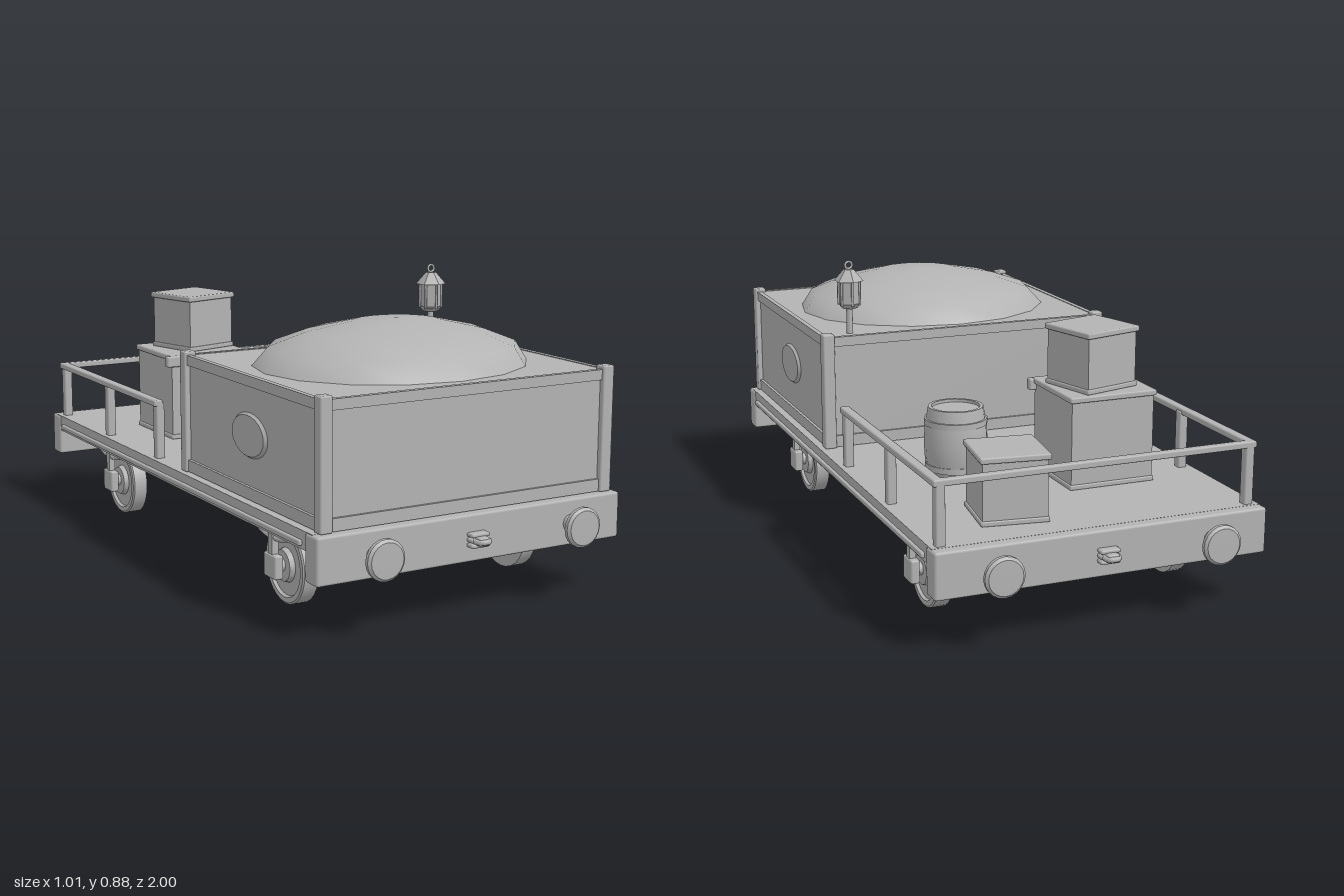
import * as THREE from 'three';
import { RoundedBoxGeometry } from 'three/addons/geometries/RoundedBoxGeometry.js';
import { toCreasedNormals } from 'three/addons/utils/BufferGeometryUtils.js';

const grey = new THREE.MeshStandardMaterial({ color: 0xb3b3b3 });
grey.name = 'plain grey';

function add(parent, name, geometry, x = 0, y = 0, z = 0) {
  const mesh = new THREE.Mesh(geometry, grey);
  mesh.name = name;
  mesh.position.set(x, y, z);
  parent.add(mesh);
  return mesh;
}
const box = (w, h, d) => new THREE.BoxGeometry(w, h, d);
const soft = (w, h, d, r = 0.006) => new RoundedBoxGeometry(w, h, d, 1, r);
const cyl = (rTop, rBottom, h, n = 20) => new THREE.CylinderGeometry(rTop, rBottom, h, n);
const lathe = (pts, n, crease = 0.6) => toCreasedNormals(
  new THREE.LatheGeometry(pts.map(([r, y]) => new THREE.Vector2(r, y)), n), crease);

function group(parent, name, x = 0, y = 0, z = 0) {
  const g = new THREE.Group();
  g.name = name;
  g.position.set(x, y, z);
  parent.add(g);
  return g;
}

// Crate with thin bands around the foot and a lid
function crate(parent, name, size, h, x, y, z, turn) {
  const g = group(parent, name, x, y, z);
  g.rotation.y = turn;
  add(g, 'crateBody', box(size, h - 0.015, size), 0, (h - 0.015) / 2, 0);
  add(g, 'crateFoot', soft(size + 0.01, 0.015, size + 0.01, 0.004), 0, 0.0075, 0);
  add(g, 'crateLid', soft(size + 0.016, 0.018, size + 0.016, 0.005), 0, h - 0.009, 0);
  return g;
}

// Beam, buffers and coupling at one end of the wagon
function wagonEnd(parent) {
  const g = group(parent, 'wagonEnd');
  add(g, 'bufferBeam', soft(1, 0.135, 0.066, 0.008), 0, 0.224, 0.9);
  for (const x of [-0.325, 0.325]) {
    const buffer = group(g, 'buffer', x, 0.222, 0.93);
    buffer.rotation.x = Math.PI / 2;
    add(buffer, 'bufferStem', cyl(0.02, 0.026, 0.06, 12), 0, 0.03, 0);
    add(buffer, 'bufferDisc', lathe([[0, 0.046], [0.05, 0.046], [0.058, 0.051],
      [0.058, 0.062], [0.05, 0.069], [0, 0.07]], 20), 0, 0, 0);
  }
  // Coupling of three stacked rounded bars
  add(g, 'couplingHook', soft(0.036, 0.025, 0.06), 0, 0.222, 0.95);
  for (const y of [0.207, 0.222, 0.237]) {
    add(g, 'couplingBar', soft(0.06, 0.012, 0.03, 0.005), 0, y, 0.945);
  }
  const link = add(g, 'couplingLink', new THREE.TorusGeometry(0.02, 0.008, 8, 14), 0, 0.222, 0.962);
  link.rotation.x = Math.PI / 2;
  return g;
}

// Wheel with axle box and leaf spring, for side s
function wheel(parent, s, z) {
  const g = group(parent, 'wheelSet', 0, 0.112, z);
  const disc = add(g, 'wheel', lathe([[0, -0.024], [0.112, -0.024], [0.112, 0.02], [0.107, 0.024],
    [0.092, 0.024], [0.088, 0.015], [0.05, 0.015], [0.045, 0.03], [0, 0.03]], 28), s * 0.376, 0, 0);
  disc.rotation.z = -s * Math.PI / 2;
  add(g, 'axleStub', cyl(0.02, 0.02, 0.06, 10), s * 0.41, 0.003, 0).rotation.z = Math.PI / 2;
  add(g, 'axleBox', soft(0.028, 0.07, 0.07), s * 0.434, 0.005, 0);
  add(g, 'hanger', box(0.02, 0.1, 0.024), s * 0.434, 0.08, 0);
  const curve = new THREE.QuadraticBezierCurve3(
    new THREE.Vector3(s * 0.434, 0.118, -0.135), new THREE.Vector3(s * 0.434, 0.055, 0),
    new THREE.Vector3(s * 0.434, 0.118, 0.135));
  add(g, 'leafSpring', new THREE.TubeGeometry(curve, 12, 0.008, 6));
}

function lantern(parent) {
  const g = group(parent, 'lantern', 0.373, 0.64, 0.14);
  add(g, 'lanternPole', cyl(0.01, 0.01, 0.1, 10), 0, 0.05, 0);
  add(g, 'lanternBase', cyl(0.036, 0.025, 0.015, 6), 0, 0.093, 0);
  add(g, 'lanternGlass', toCreasedNormals(cyl(0.032, 0.032, 0.08, 6), 0.5), 0, 0.135, 0);
  for (let i = 0; i < 6; i++) {
    const a = i * Math.PI / 3;
    add(g, 'lanternBar', cyl(0.004, 0.004, 0.08, 6), 0.034 * Math.sin(a), 0.135, 0.034 * Math.cos(a));
  }
  add(g, 'lanternRoof', toCreasedNormals(cyl(0.016, 0.047, 0.036, 6), 0.5), 0, 0.19, 0);
  add(g, 'lanternRing', new THREE.TorusGeometry(0.011, 0.004, 6, 14), 0, 0.221, 0);
}

// Closed container with corner posts, rails, side medallions and a heaped load
function container(parent) {
  const g = group(parent, 'container');
  add(g, 'containerBody', box(0.926, 0.355, 0.806), 0, 0.4675, 0.4975);
  for (const x of [-0.461, 0.461]) {
    for (const z of [0.095, 0.898]) {
      add(g, 'cornerPost', soft(0.038, 0.366, 0.037, 0.005), x, 0.475, z);
    }
  }
  for (const [y, h] of [[0.312, 0.036], [0.632, 0.03]]) {
    for (const s of [-1, 1]) {
      add(g, 'sideRail', box(0.016, h, 0.78), s * 0.464, y, 0.4975);
      add(g, 'endRail', box(0.9, h, 0.016), 0, y, 0.4975 + s * 0.403);
    }
  }
  for (const s of [-1, 1]) {
    const plate = add(g, 'sideMedallion', cyl(0.9, 1, 0.009, 24), s * 0.467, 0.476, 0.495);
    plate.rotation.z = -s * Math.PI / 2;
    plate.scale.set(0.065, 1, 0.105);
  }
  const heap = add(g, 'heapedLoad', new THREE.LatheGeometry([[0.415, 0], [0.372, 0.055],
    [0.27, 0.092], [0.13, 0.122], [0, 0.13]].map(([r, y]) => new THREE.Vector2(r, y)), 16),
  0, 0.644, 0.492);
  heap.scale.z = 0.88;
  // Slightly lopsided crest
  const p = heap.geometry.attributes.position;
  for (let i = 0; i < p.count; i++) p.setX(i, p.getX(i) + p.getY(i) * 0.15);
}

function railing(parent) {
  const g = group(parent, 'railing');
  for (const s of [-1, 1]) {
    for (const z of [-0.11, -0.495, -0.876]) {
      add(g, 'railPost', soft(0.028, 0.18, 0.03, 0.005), s * 0.465, 0.378, z);
    }
    add(g, 'sideHandrail', soft(0.03, 0.02, 0.796, 0.005), s * 0.471, 0.466, -0.493);
  }
  add(g, 'endHandrail', soft(0.95, 0.02, 0.024, 0.005), 0, 0.466, -0.879);
}

function barrel(parent) {
  const g = group(parent, 'barrel', 0.2, 0.294, -0.325);
  add(g, 'barrelBody', lathe([[0, 0], [0.08, 0], [0.092, 0.055], [0.095, 0.105], [0.092, 0.155],
    [0.082, 0.214], [0.072, 0.214], [0.072, 0.205], [0, 0.205]], 20));
  for (const [y, r] of [[0.035, 0.092], [0.17, 0.094]]) {
    add(g, 'barrelHoop', cyl(r, r, 0.018), 0, y, 0);
  }
}

export function createModel() {
  const model = new THREE.Group();
  model.name = 'flatWagon';

  // Deck and underframe
  add(model, 'deck', box(0.99, 0.052, 1.8), 0, 0.266, 0);
  for (const s of [-1, 1]) add(model, 'sideStrip', soft(0.016, 0.016, 1.69, 0.004), s * 0.497, 0.257, 0);
  for (const z of [-0.575, 0.575]) {
    add(model, 'crossBeam', box(0.72, 0.075, 0.08), 0, 0.205, z);
    for (const s of [-1, 1]) wheel(model, s, z);
  }
  wagonEnd(model);
  wagonEnd(model).rotation.y = Math.PI;

  // Upper works
  container(model);
  lantern(model);
  railing(model);

  // Cargo on the open deck
  const big = crate(model, 'largeCrate', 0.262, 0.278, -0.186, 0.292, -0.457, 0);
  add(big, 'lidLip', soft(0.305, 0.036, 0.026), 0, 0.258, 0.132);
  crate(model, 'topCrate', 0.182, 0.182, -0.172, 0.57, -0.468, 0.27);
  crate(model, 'smallCrate', 0.186, 0.196, 0.2, 0.292, -0.708, -0.14);
  barrel(model);
  return model;
}
